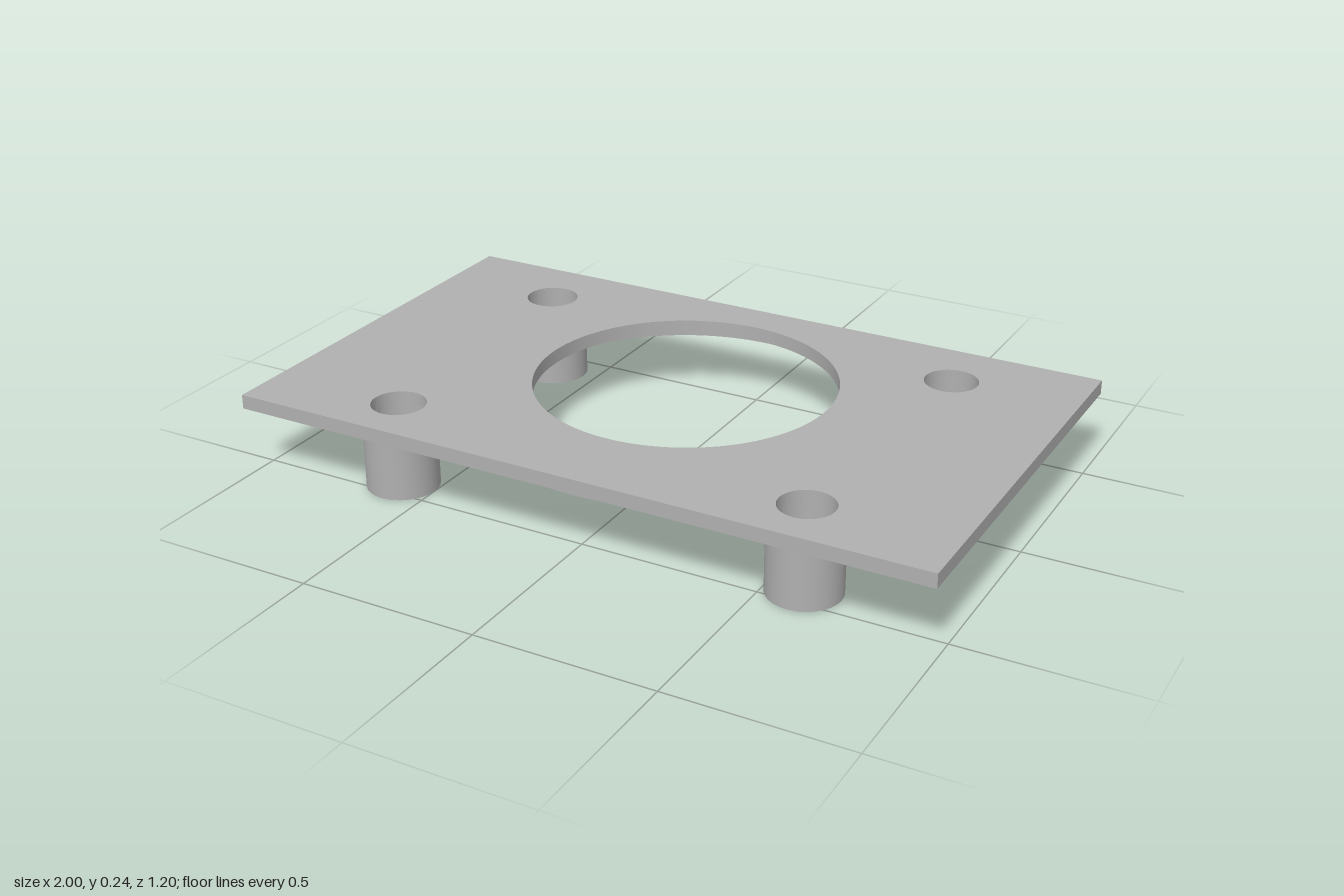
import * as THREE from 'three';
import { toCreasedNormals } from 'three/addons/utils/BufferGeometryUtils.js';

const CENTRE_Z = -0.06; // centre of the large opening
const PLATE_TOP = 0.24, PLATE_BOTTOM = 0.2, RING_BOTTOM = 0.16;
const BORE = 0.075, SCREW_HOLE = 0.045, POST_RADIUS = 0.1, FLOOR = 0.04;
const POSTS = [[0.64, -0.4], [-0.64, -0.4], [0.6, 0.44], [-0.6, 0.44]];

function circleHole(x, z, r) {
  return new THREE.Path().absarc(x, z, r, 0, Math.PI * 2, true);
}

// Extrude an outline drawn in x/z downwards from the given height
function slab(shape, top, bottom) {
  const geo = new THREE.ExtrudeGeometry(shape, { depth: top - bottom, bevelEnabled: false, curveSegments: 72 });
  geo.rotateX(Math.PI / 2).translate(0, top, 0);
  return toCreasedNormals(geo, 0.5);
}

export function createModel() {
  const group = new THREE.Group();
  const grey = new THREE.MeshStandardMaterial({ color: 0xb0b0b0 });
  grey.name = 'grey';

  const add = (name, geo, x = 0, z = 0) => {
    const mesh = new THREE.Mesh(geo, grey);
    mesh.name = name;
    mesh.position.set(x, 0, z);
    group.add(mesh);
  };

  // Flat plate with the large opening and four bores
  const plate = new THREE.Shape();
  plate.moveTo(-1, -0.6).lineTo(1, -0.6).lineTo(1, 0.6).lineTo(-1, 0.6).closePath();
  plate.holes.push(circleHole(0, CENTRE_Z, 0.42));
  for (const [x, z] of POSTS) plate.holes.push(circleHole(x, z, BORE));
  add('plate', slab(plate, PLATE_TOP, PLATE_BOTTOM));

  // Rim under the plate, cut flat at the back edge
  const cut = Math.asin((-0.6 - CENTRE_Z) / 0.6);
  const rim = new THREE.Shape();
  rim.absarc(0, CENTRE_Z, 0.6, cut, Math.PI - cut, false);
  rim.closePath();
  rim.holes.push(circleHole(0, CENTRE_Z, 0.5));
  add('rim', slab(rim, PLATE_BOTTOM, RING_BOTTOM));

  // Hollow posts: wide bore from above, narrow screw hole through the floor
  const profile = [
    [SCREW_HOLE, 0], [POST_RADIUS, 0], [POST_RADIUS, PLATE_BOTTOM], [BORE, PLATE_BOTTOM],
    [BORE, FLOOR], [SCREW_HOLE, FLOOR], [SCREW_HOLE, 0],
  ].map(([r, y]) => new THREE.Vector2(r, y));
  const post = toCreasedNormals(new THREE.LatheGeometry(profile, 48), 0.5);
  for (const [x, z] of POSTS) {
    add((z > 0 ? 'front' : 'back') + (x > 0 ? 'Left' : 'Right') + 'Post', post, x, z);
  }

  return group;
}
